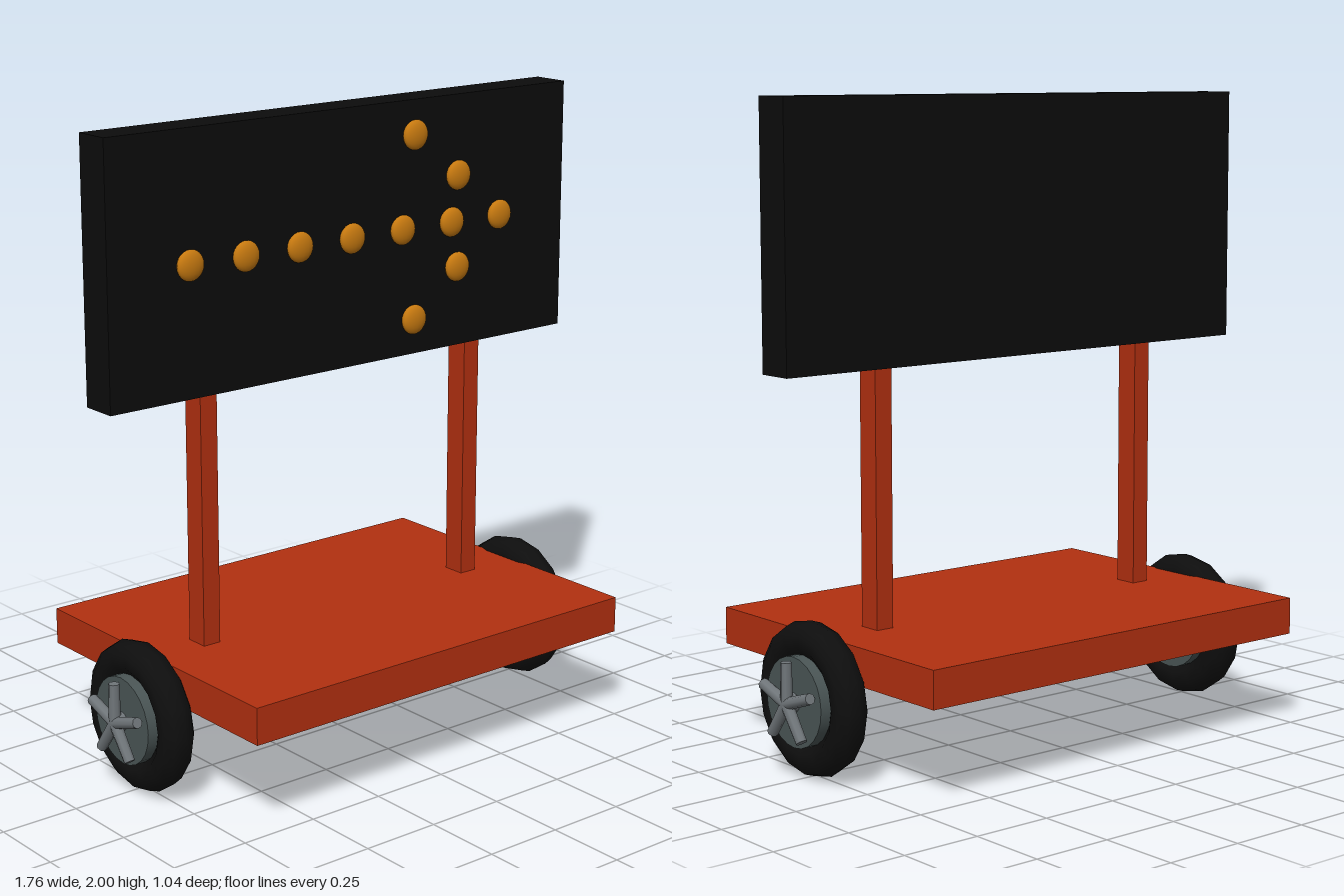
import * as THREE from 'three';

const mat = (name, color, flatShading = false) => {
  const m = new THREE.MeshStandardMaterial({ color, flatShading });
  m.name = name;
  return m;
};

export function createModel() {
  const orange = mat('orange paint', 0xb23010);
  const black = mat('board black', 0x0c0c0c);
  const rubber = mat('tyre rubber', 0x0e0e0e);
  const amber = mat('amber lamp', 0xc87a10);
  const rimGrey = mat('rim grey', 0x4a5555);
  const steel = mat('spoke steel', 0x70767a);

  const root = new THREE.Group();
  root.name = 'arrowBoardTrailer';
  const add = (parent, name, geo, material, x = 0, y = 0, z = 0) => {
    const mesh = new THREE.Mesh(geo, material);
    mesh.name = name;
    mesh.position.set(x, y, z);
    parent.add(mesh);
    return mesh;
  };

  // Deck, posts and sign board
  add(root, 'deck', new THREE.BoxGeometry(1.436, 0.115, 1.04), orange, 0, 0.362, 0);
  for (const s of [-1, 1])
    add(root, 'post', new THREE.BoxGeometry(0.06, 0.8, 0.075), orange, s * 0.52, 0.815, 0);
  add(root, 'signBoard', new THREE.BoxGeometry(1.76, 0.795, 0.12), black, 0, 1.6025, 0);

  // Lamps: arrow shaft, then the mirrored head strokes
  const lampGeo = new THREE.SphereGeometry(0.047, 16, 12);
  lampGeo.scale(1, 1, 0.42);
  const lamp = (x, y) => add(root, 'lamp', lampGeo, amber, x, y, 0.07);
  for (let i = -3; i <= 3; i++) lamp(i * 0.2, 1.605);
  for (const s of [-1, 1]) {
    lamp(0.425, 1.605 + s * 0.145);
    lamp(0.248, 1.605 + s * 0.288);
  }

  // Wheels: local +x is the outer side
  const disc = (r, w, sides) => new THREE.CylinderGeometry(r, r, w, sides).rotateZ(Math.PI / 2);
  const tyreGeo = new THREE.TorusGeometry(0.18, 0.055, 10, 16).rotateY(Math.PI / 2);
  const spokeGeo = new THREE.CylinderGeometry(0.017, 0.019, 0.125, 8).translate(0, 0.0625, 0);
  for (const s of [-1, 1]) {
    const wheel = new THREE.Group();
    wheel.name = s > 0 ? 'leftWheel' : 'rightWheel';
    wheel.position.set(s * 0.76, 0.24, 0);
    if (s < 0) wheel.rotation.y = Math.PI;
    root.add(wheel);
    add(wheel, 'tyre', tyreGeo, rubber);
    add(wheel, 'rim', disc(0.137, 0.138, 24), rimGrey);
    add(wheel, 'innerHub', disc(0.046, 0.03, 16), steel, -0.07);
    add(wheel, 'outerHub', disc(0.03, 0.035, 12), steel, 0.08);
    for (let i = 0; i < 5; i++) {
      const spoke = add(wheel, 'spoke', spokeGeo, steel, 0.094);
      spoke.rotation.x = (i / 5) * Math.PI * 2;
    }
  }
  return root;
}
